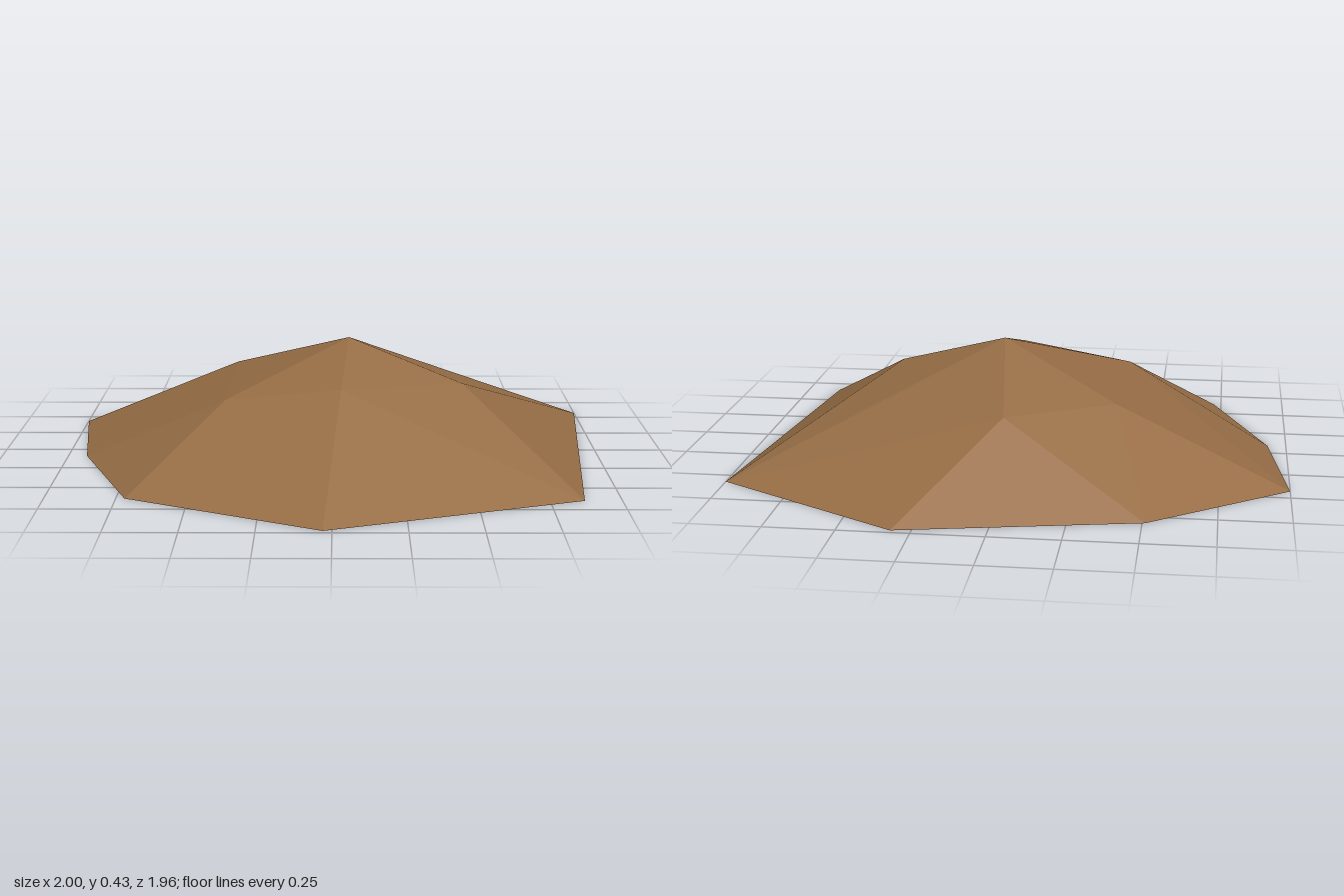
import * as THREE from 'three';

export function createModel() {
  const group = new THREE.Group();
  const earth = new THREE.MeshStandardMaterial({ color: 0x966d45 });
  earth.name = 'earthBrown';

  // Ground outline, seen from above: x, z, counter-clockwise from the back
  const rim = [
    [0.32, -0.98], [-0.51, -0.81], [-1, -0.43], [-0.93, 0.09],
    [-0.72, 0.63], [-0.03, 0.98], [0.87, 0.65], [1, -0.57],
  ].map(([x, z]) => new THREE.Vector3(x, 0, z));

  // Shoulder ring: back, back right, front right, front, left
  const ring = [
    [0, 0.27, -0.55], [-0.38, 0.27, -0.34], [-0.39, 0.265, 0.28],
    [0.03, 0.32, 0.35], [0.48, 0.29, 0.12],
  ].map((p) => new THREE.Vector3(...p));
  const peak = new THREE.Vector3(0.06, 0.43, -0.05);

  const positions = [];
  const face = (...corners) => corners.forEach((v) => positions.push(v.x, v.y, v.z));

  // Upper facets around the peak; the back left one runs down to the rim
  for (let i = 0; i < 4; i++) face(peak, ring[i], ring[i + 1]);
  face(peak, ring[4], rim[7]);
  face(peak, rim[7], ring[0]);

  // Lower slopes: each shoulder point fans out over a span of the rim
  const spans = [[0, 1], [1, 2], [2, 5], [5, 6], [6, 7]];
  spans.forEach(([from, to], i) => {
    for (let k = from; k < to; k++) face(ring[i], rim[k], rim[k + 1]);
    if (i < 4) face(ring[i], rim[to], ring[i + 1]);
  });
  face(ring[0], rim[7], rim[0]);

  // Flat underside
  for (let k = 1; k < 7; k++) face(rim[0], rim[k + 1], rim[k]);

  const geometry = new THREE.BufferGeometry();
  geometry.setAttribute('position', new THREE.Float32BufferAttribute(positions, 3));
  geometry.computeVertexNormals(); // unshared corners give flat facets

  const mound = new THREE.Mesh(geometry, earth);
  mound.name = 'mound';
  group.add(mound);
  return group;
}
